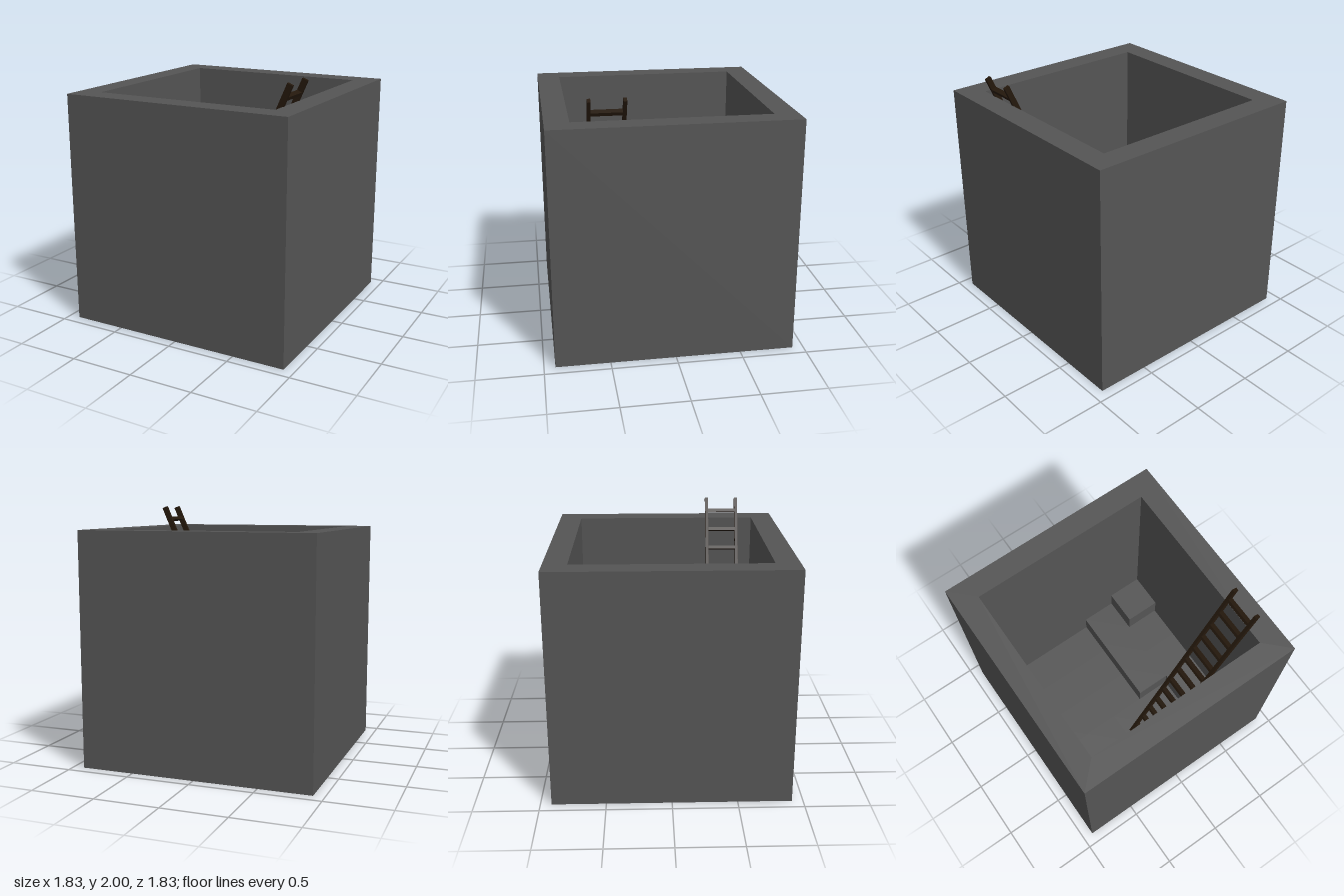
import * as THREE from 'three';

const OUT = 0.915, IN = 0.735, H = 1.83, STEP = 0.18;

// Square shell: outer walls, top rim and inner walls, open underneath
function makeWalls(material) {
  const profile = [[OUT, 0], [OUT, H], [IN, H], [IN, 0]]
    .map(([r, y]) => new THREE.Vector2(r * Math.SQRT2, y));
  const geo = new THREE.LatheGeometry(profile, 4).rotateY(Math.PI / 4);
  const mesh = new THREE.Mesh(geo, material);
  mesh.name = 'pitWalls';
  return mesh;
}

// Stepped floor: 5 x 5 tiles, each row running from -x to +x, rows from back to front
function makeFloor(material) {
  const levels = ['00012', '00011', '00011', '00001', '00001'];
  const at = (k) => -IN + (k * 2 * IN) / 5;
  const height = (i, j) => Number(levels[j][i]) * STEP;
  const pos = [];
  const quad = (a, b, c, d) => pos.push(...a, ...b, ...c, ...a, ...c, ...d);
  for (let j = 0; j < 5; j++) {
    for (let i = 0; i < 5; i++) {
      const x0 = at(i), x1 = at(i + 1), z0 = at(j), z1 = at(j + 1), y = height(i, j);
      quad([x0, y, z0], [x0, y, z1], [x1, y, z1], [x1, y, z0]);
      // riser towards the lower tile on the -x side
      const yl = i > 0 ? height(i - 1, j) : y;
      if (yl < y) quad([x0, yl, z0], [x0, yl, z1], [x0, y, z1], [x0, y, z0]);
      // riser towards the lower tile on the +z side
      const yf = j < 4 ? height(i, j + 1) : y;
      if (yf < y) quad([x0, yf, z1], [x1, yf, z1], [x1, y, z1], [x0, y, z1]);
    }
  }
  const geo = new THREE.BufferGeometry();
  geo.setAttribute('position', new THREE.Float32BufferAttribute(pos, 3));
  geo.computeVertexNormals();
  const mesh = new THREE.Mesh(geo, material);
  mesh.name = 'steppedFloor';
  return mesh;
}

// Ladder leaning on the +x wall, built upright and then tilted about its foot
function makeLadder(material) {
  const ladder = new THREE.Group();
  ladder.name = 'ladder';
  const run = 0.869, rise = 1.98, length = Math.hypot(run, rise);
  const add = (name, w, h, d, y, z) => {
    const mesh = new THREE.Mesh(new THREE.BoxGeometry(w, h, d), material);
    mesh.name = name;
    mesh.position.set(0, y, z);
    ladder.add(mesh);
  };
  for (const side of [-1, 1]) add('ladderRail', 0.044, length, 0.025, length / 2, side * 0.126);
  for (let i = 0; i < 13; i++) add('ladderRung', 0.041, 0.027, 0.24, 0.1245 + i * 0.1607, 0);
  ladder.position.set(-0.085, 0.01, 0.475);
  ladder.rotation.z = -Math.atan2(run, rise);
  return ladder;
}

export function createModel() {
  const stone = new THREE.MeshStandardMaterial({
    color: 0x555555, flatShading: true, side: THREE.DoubleSide,
  });
  const wood = new THREE.MeshStandardMaterial({ color: 0x24180c });
  const model = new THREE.Group();
  model.name = 'pitWithLadder';
  model.add(makeWalls(stone), makeFloor(stone), makeLadder(wood));
  return model;
}
